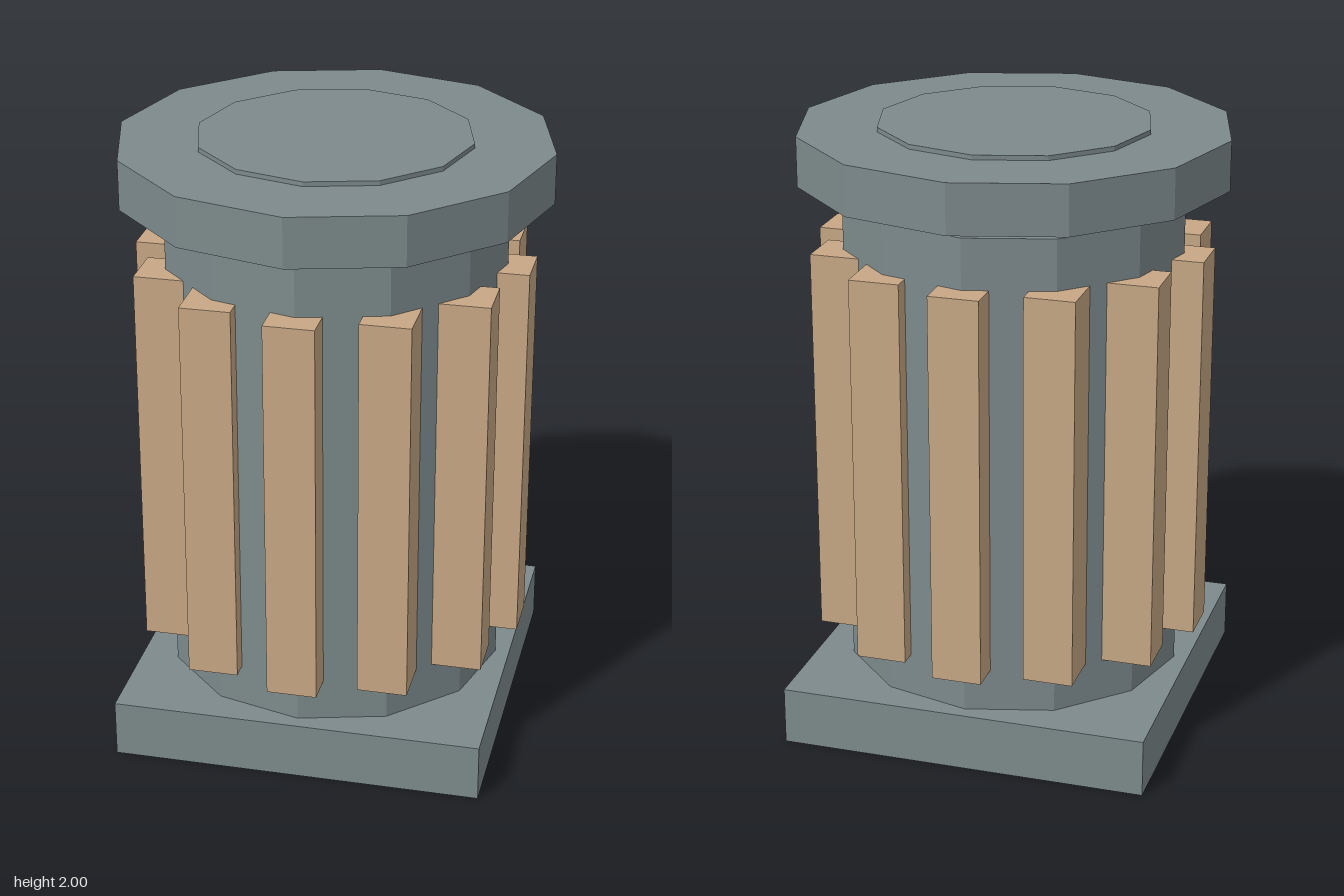
import * as THREE from 'three';

export function createModel() {
  const model = new THREE.Group();
  model.name = 'column';

  const stone = new THREE.MeshStandardMaterial({ color: 0x7d8a8c, flatShading: true });
  stone.name = 'grey stone';
  const tan = new THREE.MeshStandardMaterial({ color: 0xc8a885, flatShading: true });
  tan.name = 'tan wood';

  const SIDES = 12;

  function add(name, geometry, material, x, y, z) {
    const mesh = new THREE.Mesh(geometry, material);
    mesh.name = name;
    mesh.position.set(x, y, z);
    model.add(mesh);
  }

  // Twelve-sided drum between two heights, corners on the axes
  function drum(name, radius, y0, y1) {
    add(name, new THREE.CylinderGeometry(radius, radius, y1 - y0, SIDES), stone, 0, (y0 + y1) / 2, 0);
  }

  // Square plinth
  add('plinth', new THREE.BoxGeometry(1.21, 0.19, 1.21), stone, 0, 0.095, 0);

  // Shaft, floating capital and the thin disc on top
  drum('shaft', 0.558, 0.19, 1.775);
  drum('capital', 0.698, 1.823, 1.985);
  drum('topDisc', 0.442, 1.985, 2);

  // Ring of upright slats, all square to the axes
  const slat = new THREE.BoxGeometry(0.162, 1.28, 0.162);
  for (let i = 0; i < SIDES; i++) {
    const a = (i / SIDES) * Math.PI * 2;
    add('slat', slat, tan, Math.sin(a) * 0.558, 0.97, Math.cos(a) * 0.558);
  }

  return model;
}
